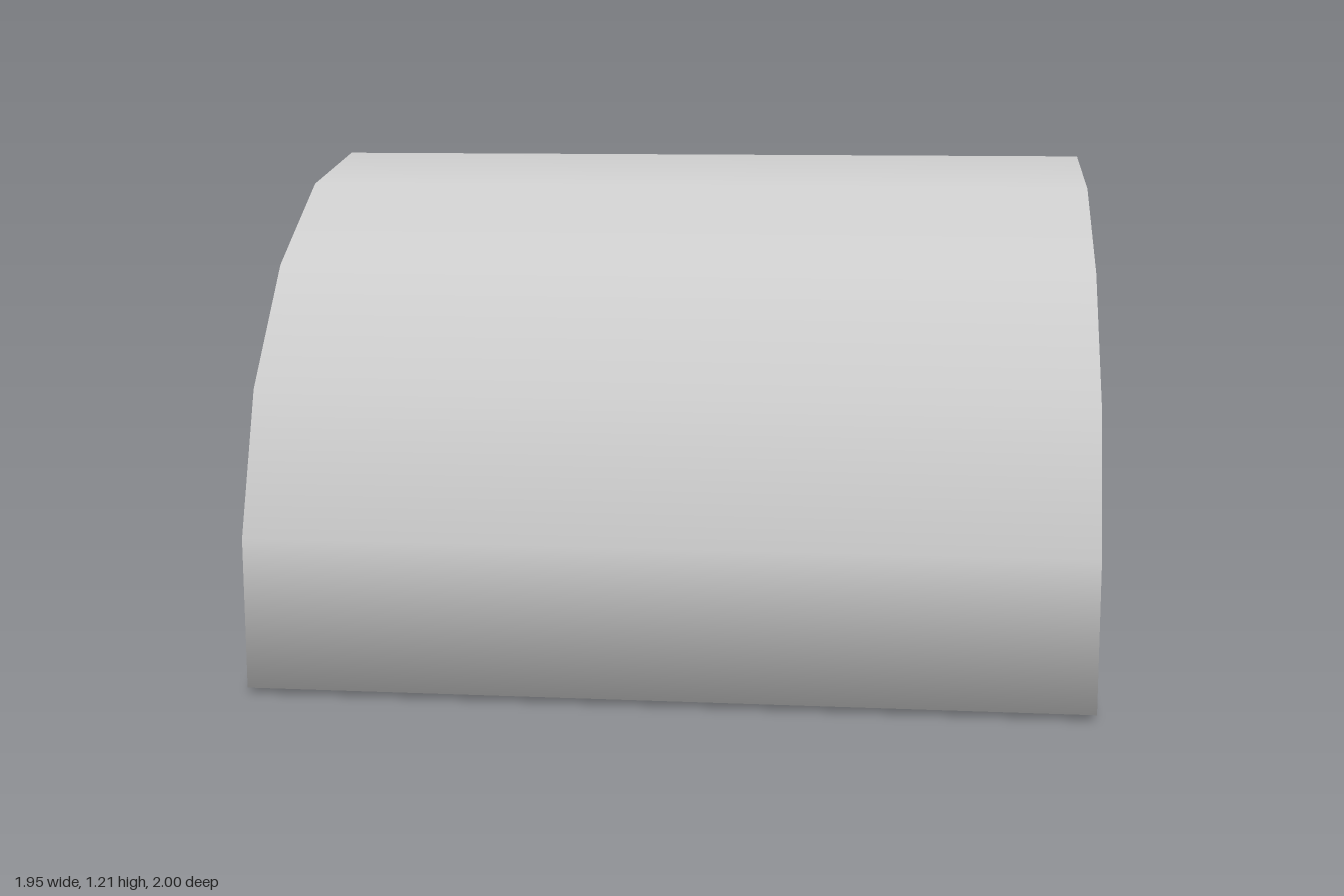
import * as THREE from 'three';

const HALF = 0.975;    // half the length along x
const RECESS = -0.31;  // x of the wall at the end of the cavity

// Cross-sections as [z, y], right half from the bottom up to the apex
const OUTER = [[0.69, 0], [0.7, 0.005], [0.93, 0.01], [1, 0.015], [1, 0.37], [0.88, 0.7], [0.65, 0.967], [0.346, 1.143], [0, 1.205]];
const INNER = [[0.94, 0.06], [0.94, 0.36], [0.825, 0.675], [0.61, 0.925], [0.325, 1.092], [0, 1.15]];

// Mirrors a half section into a closed counterclockwise loop
function closeLoop(half) {
  const mirrored = half.slice(0, -1).reverse().map(([z, y]) => [-z, y]);
  return [...half, ...mirrored];
}

// Sweeps a closed loop along x, with normals averaged between neighbouring sides
function sweep(loop, x0, x1) {
  const n = loop.length;
  const sideNormal = (i) => {
    const [a, b] = [loop[(i + n) % n], loop[(i + 1) % n]];
    return new THREE.Vector3(0, -(b[0] - a[0]), b[1] - a[1]).normalize();
  };
  const positions = [], normals = [], index = [];
  loop.forEach(([z, y], i) => {
    const normal = sideNormal(i - 1).add(sideNormal(i)).normalize();
    positions.push(x0, y, z, x1, y, z);
    normals.push(...normal, ...normal);
    const a = 2 * i, b = 2 * ((i + 1) % n);
    index.push(a, a + 1, b + 1, a, b + 1, b);
  });
  const geometry = new THREE.BufferGeometry();
  geometry.setAttribute('position', new THREE.Float32BufferAttribute(positions, 3));
  geometry.setAttribute('normal', new THREE.Float32BufferAttribute(normals, 3));
  geometry.setIndex(index);
  return geometry;
}

// Flat end panel at x, facing +x or -x, with an optional opening
function panel(loop, x, facing, hole) {
  const toPoints = (l) => l.map(([z, y]) => new THREE.Vector2(z, y));
  const shape = new THREE.Shape(toPoints(loop));
  if (hole) shape.holes.push(new THREE.Path(toPoints(hole)));
  return new THREE.ShapeGeometry(shape).rotateY(facing * Math.PI / 2).translate(x, 0, 0);
}

export function createModel() {
  const group = new THREE.Group();
  group.name = 'archedShelter';
  const smooth = new THREE.MeshStandardMaterial({ color: 0xcccccc });
  const flat = new THREE.MeshStandardMaterial({ color: 0xcccccc, flatShading: true });
  const add = (name, geometry, material) => {
    const mesh = new THREE.Mesh(geometry, material);
    mesh.name = name;
    group.add(mesh);
  };

  const outer = closeLoop(OUTER);
  const inner = closeLoop(INNER);

  // Outer shell with its closed end and the rim of the open end
  add('shell', sweep(outer, -HALF, HALF), smooth);
  add('closedEnd', panel(outer, HALF, 1), flat);
  add('openingRim', panel(outer, -HALF, -1, inner), flat);

  // Cavity: the reversed loop faces inwards
  add('cavityLining', sweep([...inner].reverse(), -HALF, RECESS), flat);
  add('cavityBackWall', panel(inner, RECESS, -1), flat);
  return group;
}
